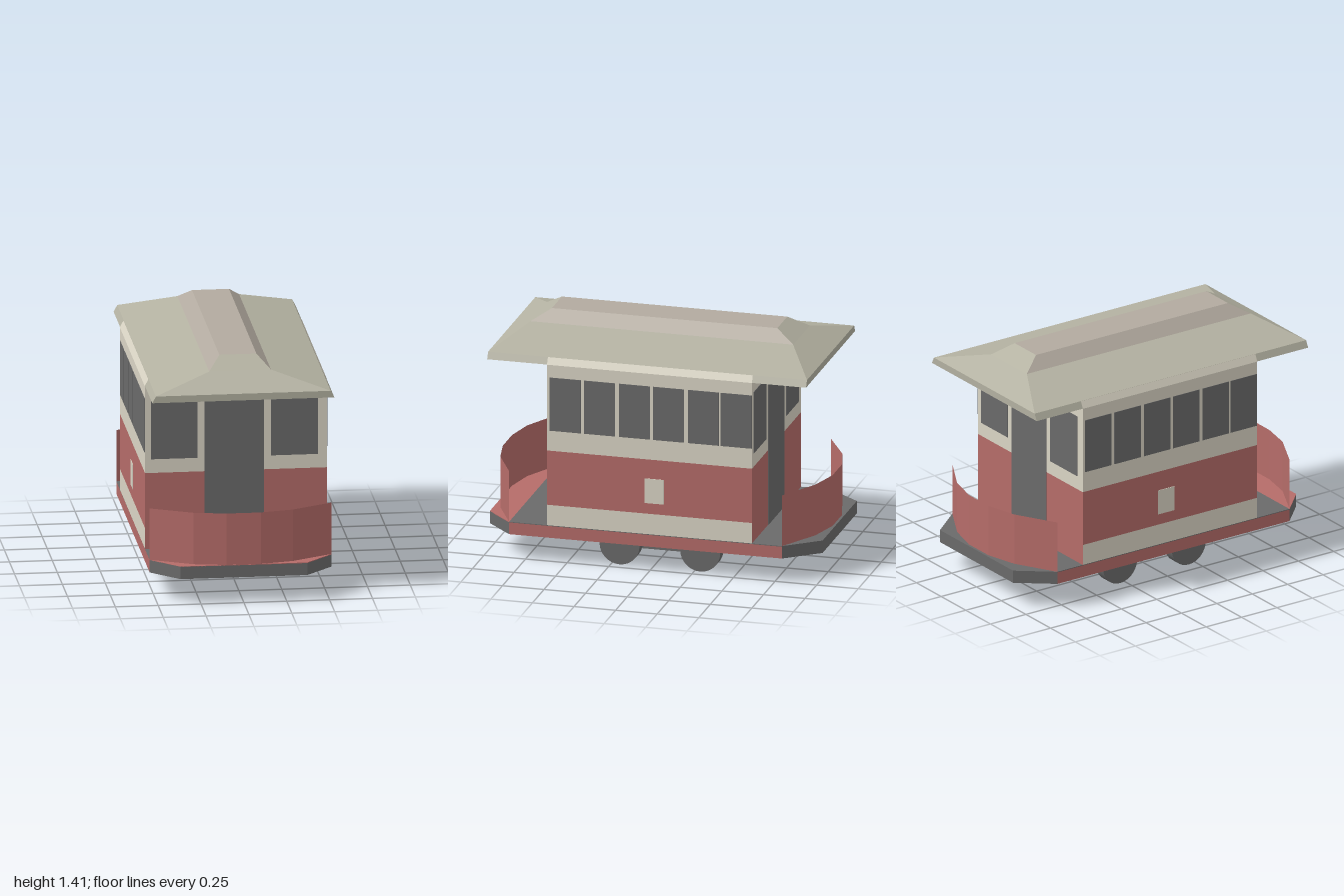
import * as THREE from 'three';

const mat = (name, color, extra = {}) => {
  const m = new THREE.MeshStandardMaterial({ color, ...extra });
  m.name = name;
  return m;
};

export function createModel() {
  const model = new THREE.Group();
  model.name = 'tramCar';
  const red = mat('red paint', 0xb56c69, { side: THREE.DoubleSide });
  const cream = mat('cream paint', 0xdad5c5);
  const grey = mat('dark grey', 0x6a6a6a, { side: THREE.DoubleSide });
  const roofGrey = mat('roof grey', 0xb3b1a1);
  const ridgeGrey = mat('ridge grey', 0xb2aa9f);

  const add = (name, geometry, material) => {
    const mesh = new THREE.Mesh(geometry, material);
    mesh.name = name;
    model.add(mesh);
  };
  // Box given by its limits on each axis
  const box = (name, [x0, x1], [y0, y1], [z0, z1], material) => {
    const g = new THREE.BoxGeometry(x1 - x0, y1 - y0, z1 - z0);
    g.translate((x0 + x1) / 2, (y0 + y1) / 2, (z0 + z1) / 2);
    add(name, g, material);
  };
  // Flat-shaded surface from four-cornered faces
  const surface = (quads) => {
    const pts = quads.flatMap(([a, b, c, d]) => [a, b, c, a, c, d]).flat();
    const g = new THREE.BufferGeometry();
    g.setAttribute('position', new THREE.Float32BufferAttribute(pts, 3));
    g.computeVertexNormals();
    return g;
  };
  // Upright sheet following a path of [x, z] points
  const sheet = (name, path, y0, y1, material) => {
    const quads = path.slice(1).map(([x, z], i) => {
      const [px, pz] = path[i];
      return [[px, y0, pz], [x, y0, z], [x, y1, z], [px, y1, pz]];
    });
    add(name, surface(quads), material);
  };

  const W = 0.531, zBack = -0.62, zFront = 0.612;
  const yDeck = 0.23, yHem = 0.154, yEave = 1.212;
  const wide = [-W, W], long = [zBack, zFront];

  // Body in painted bands; the ends are red down to the deck
  box('lowerBand', wide, [yDeck, 0.355], long, [cream, cream, cream, cream, red, red]);
  box('middleBand', wide, [0.355, 0.687], long, red);
  box('upperBand', wide, [0.687, yEave], long, cream);

  // Side windows and the small panel on each side
  const T = 0.003;
  const starts = [0.595, 0.388, 0.179, -0.026, -0.235, -0.433];
  for (const s of [1, -1]) {
    const x = s > 0 ? [W, W + T] : [-W - T, -W];
    for (const z of starts) {
      const a = z - 0.186;
      box('sideWindow', x, [0.81, 1.135], s > 0 ? [a, z] : [-0.01 - z, -0.01 - a], grey);
    }
    box('sidePanel', x, [0.42, 0.57], [-0.09, 0.025], cream);
  }

  // End doors and windows, turned half a circle at the back
  const openings = [
    ['endWindow', -0.497, -0.225, 0.77, 1.145],
    ['endDoor', -0.185, 0.163, yDeck, 1.15],
    ['endWindow', 0.203, 0.477, 0.77, 1.145],
  ];
  for (const [name, a, b, y0, y1] of openings) {
    box(name, [a, b], [y0, y1], [zFront, zFront + T], grey);
    box(name, [-b, -a], [y0, y1], [zBack - T, zBack], grey);
  }

  // Hollow deck: thin floor with red skirts along the sides
  box('deckFloor', wide, [yDeck - 0.004, yDeck], [-0.8, 0.84], grey);
  for (const x of wide) sheet('sideSkirt', [[x, -0.8], [x, 0.84]], yHem, yDeck, red);

  // Chamfered platform ends, each with a bumper sheet around it
  const platform = (name, zIn, zOut, floorMaterial) => {
    const path = [[-W, zIn], [-0.37, zOut], [0.37, zOut], [W, zIn]];
    const shape = new THREE.Shape(path.map(([x, z]) => new THREE.Vector2(x, z)));
    const g = new THREE.ExtrudeGeometry(shape, { depth: 0.004, bevelEnabled: false });
    add(name + 'Floor', g.rotateX(Math.PI / 2).translate(0, yDeck, 0), floorMaterial);
    // Corners run so that the sheet faces outwards
    sheet(name + 'Bumper', zOut > 0 ? path : path.reverse(), yHem, yDeck, grey);
  };
  platform('frontPlatform', 0.84, 1, red);
  platform('backPlatform', -0.8, -1, grey);

  // Curved sheets standing on the platform ends
  const dash = (name, za, zb, zc) => {
    const path = [[-W, za], [-0.29, zb], [-0.1, zc], [0.1, zc], [0.29, zb], [W, za]];
    sheet(name, zc > 0 ? path : path.reverse(), yDeck, 0.54, red);
  };
  dash('frontDash', 0.84, 0.96, 0.998);
  dash('backDash', -0.8, -0.935, -0.985);

  // Roof from stacked rectangles: [half width, front z, back z, y]
  const levels = [
    [W, 0.972, -0.945, yEave],
    [0.51, 0.972, -0.945, 1.252],
    [0.18, 0.81, -0.77, 1.345],
    [0.108, 0.7, -0.655, 1.412],
  ];
  const ring = ([w, f, b, y]) => [[-w, y, f], [w, y, f], [w, y, b], [-w, y, b]];
  const rings = levels.map(ring);
  const quads = [[...rings[0]].reverse()];
  const ridge = [rings[3]];
  for (let i = 0; i < 3; i++) {
    for (let j = 0; j < 4; j++) {
      const k = (j + 1) % 4;
      const q = [rings[i][j], rings[i][k], rings[i + 1][k], rings[i + 1][j]];
      (i === 2 && j % 2 === 1 ? ridge : quads).push(q);
    }
  }
  add('roof', surface(quads), roofGrey);
  add('roofRidge', surface(ridge), ridgeGrey);

  // Cream strip along each eave above the body
  const lower = ring([W + 0.002, zFront, zBack, yEave]);
  const upper = ring([0.512, zFront, zBack, 1.252]);
  add('eaveStrips', surface([
    [lower[1], lower[2], upper[2], upper[1]],
    [lower[3], lower[0], upper[0], upper[3]],
  ]), cream);

  // Wheels and the frame between them
  for (const x of [-0.392, 0.409]) {
    for (const z of [0.2, -0.285]) {
      const g = new THREE.CylinderGeometry(0.12, 0.12, 0.074, 32);
      add('wheel', g.rotateZ(Math.PI / 2).translate(x, 0.12, z), grey);
    }
  }
  box('underFrame', [-0.356, 0.372], [0.085, yDeck - 0.004], [-0.25, 0.17], grey);

  return model;
}
